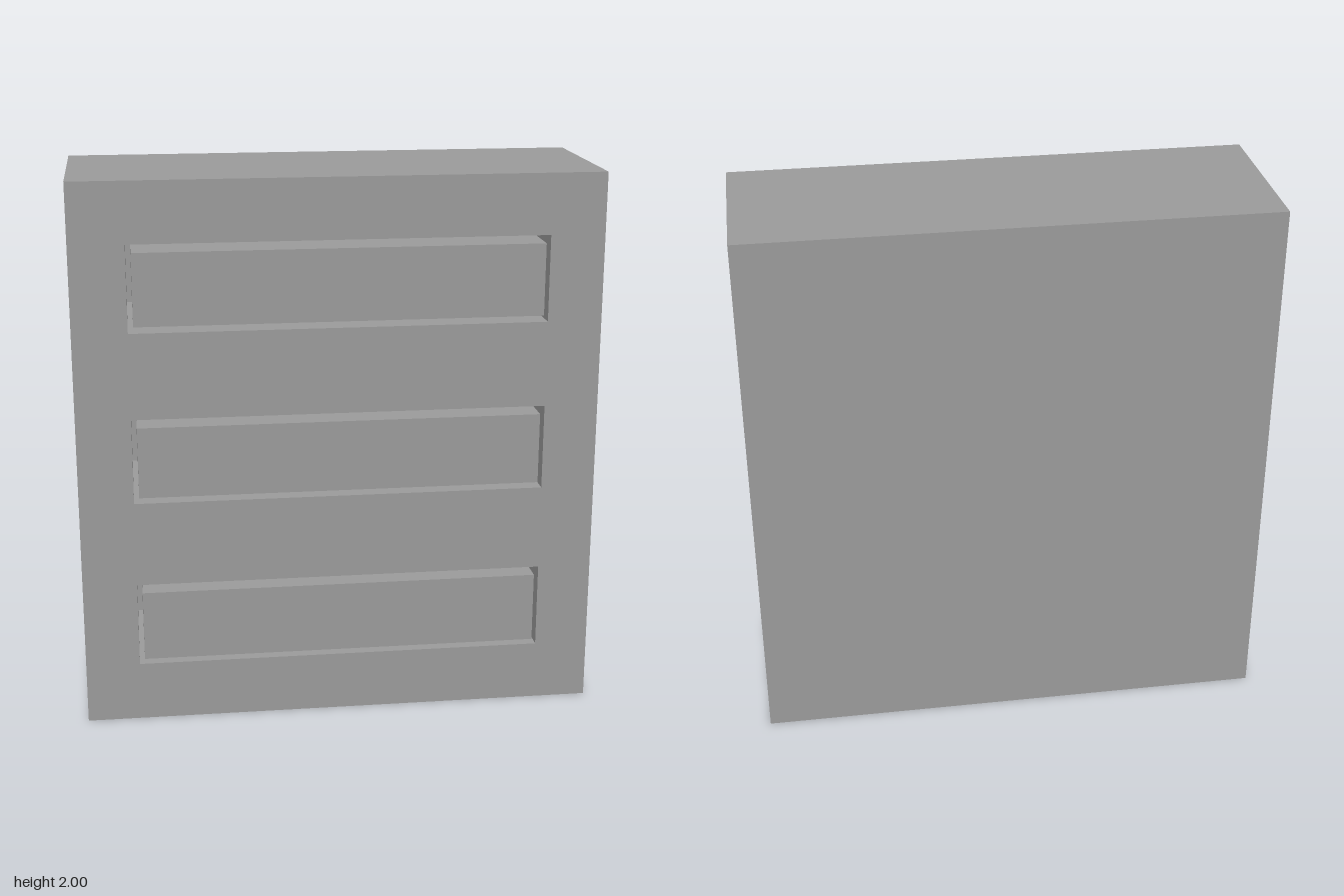
import * as THREE from 'three';
import { mergeGeometries } from 'three/addons/utils/BufferGeometryUtils.js';

const W = 1.88, H = 2, FRONT = 0.312, BACK = -0.327;  // cabinet body
const OPEN_W = 1.488, OPEN_H = 0.3125;                // drawer openings
const DRAWER_W = 1.45, DRAWER_H = 0.26;               // drawers
const CAVITY = 0.5, PROUD = 0.015;
const ROWS = [0.375, 1, 1.625];                       // drawer centre heights

// Box without its +z face, its front rim at z = FRONT; inward turns it inside out
function openBox(w, h, d, y, inward = false) {
  const g = new THREE.BoxGeometry(w, h, d);
  const index = [...g.index.array];
  index.splice(24, 6);
  if (inward) index.reverse();
  g.setIndex(index);
  g.computeVertexNormals();
  g.translate(0, y, FRONT - d / 2);
  return g;
}

function rectangle(path, w, h, y) {
  path.moveTo(-w / 2, y - h / 2);
  path.lineTo(w / 2, y - h / 2);
  path.lineTo(w / 2, y + h / 2);
  path.lineTo(-w / 2, y + h / 2);
  path.closePath();
  return path;
}

export function createModel() {
  const model = new THREE.Group();
  model.name = 'drawerCabinet';
  const material = new THREE.MeshStandardMaterial({ color: 0x9b9b9b });

  // Cabinet: outer shell, front frame with three openings, and their cavities
  const frame = rectangle(new THREE.Shape(), W, H, H / 2);
  frame.holes = ROWS.map((y) => rectangle(new THREE.Path(), OPEN_W, OPEN_H, y));
  const parts = [
    openBox(W, H, FRONT - BACK, H / 2),
    new THREE.ShapeGeometry(frame).translate(0, 0, FRONT),
    ...ROWS.map((y) => openBox(OPEN_W, OPEN_H, CAVITY, y, true)),
  ];
  const cabinet = new THREE.Mesh(mergeGeometries(parts), material);
  cabinet.name = 'cabinet';
  model.add(cabinet);

  // Drawers: reach the cavity back and stand slightly proud of the front
  const depth = CAVITY + PROUD;
  const drawerGeometry = new THREE.BoxGeometry(DRAWER_W, DRAWER_H, depth);
  ROWS.forEach((y, i) => {
    const drawer = new THREE.Mesh(drawerGeometry, material);
    drawer.name = ['lowerDrawer', 'middleDrawer', 'upperDrawer'][i];
    drawer.position.set(0, y, FRONT + PROUD - depth / 2);
    model.add(drawer);
  });

  return model;
}
